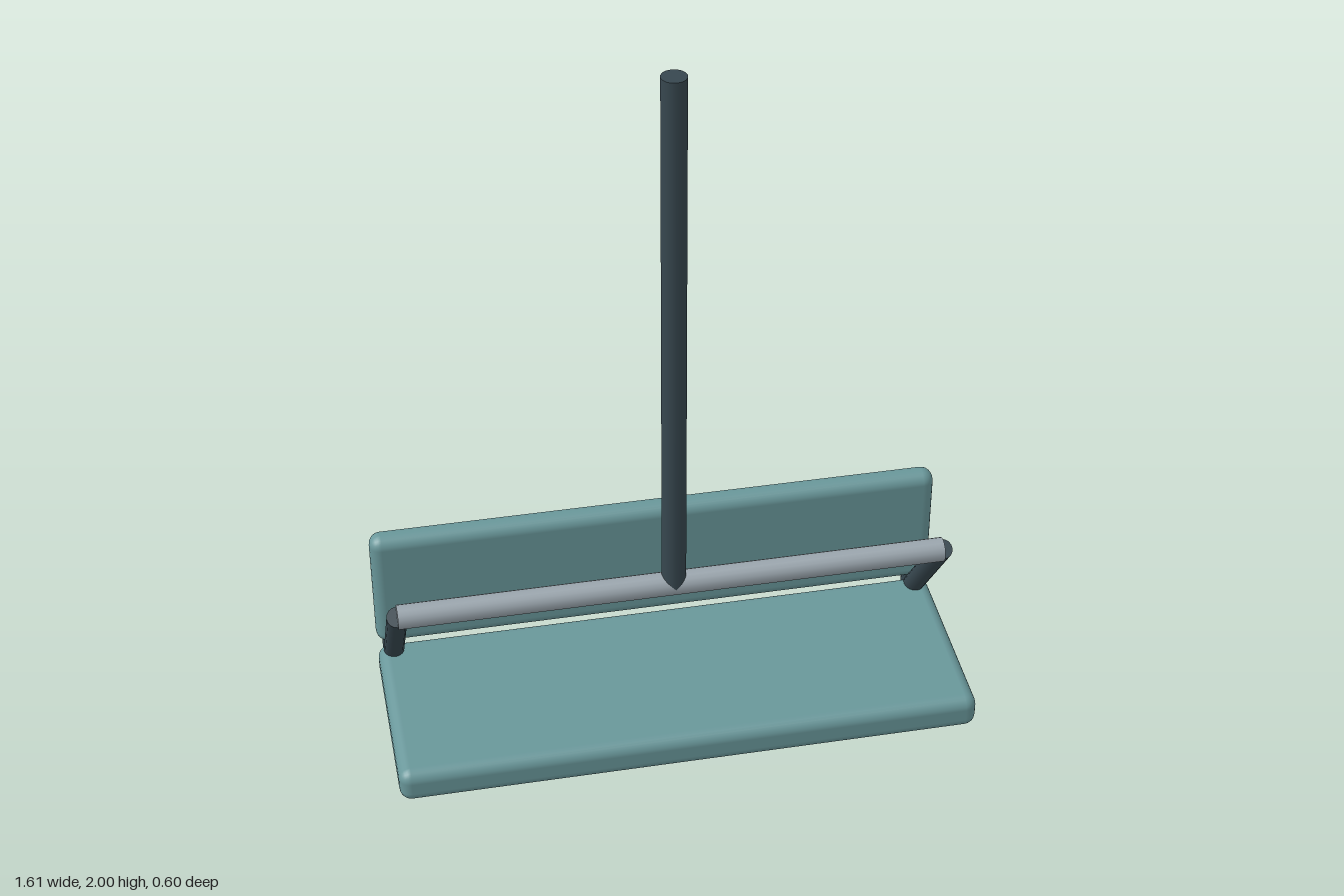
import * as THREE from 'three';
import { RoundedBoxGeometry } from 'three/addons/geometries/RoundedBoxGeometry.js';

export function createModel() {
  const model = new THREE.Group();
  model.name = 'hangingBench';

  const mat = (name, color) => {
    const m = new THREE.MeshStandardMaterial({ color });
    m.name = name;
    return m;
  };
  const teal = mat('teal cushion', 0x69979a);
  const dark = mat('dark steel', 0x37474f);
  const silver = mat('light steel', 0x9aa5ad);

  const add = (name, geometry, material) => {
    const mesh = new THREE.Mesh(geometry, material);
    mesh.name = name;
    model.add(mesh);
    return mesh;
  };

  // Cushion filling the given span
  const cushion = (name, w, y0, y1, z0, z1) =>
    add(name, new RoundedBoxGeometry(w, y1 - y0, z1 - z0, 3, 0.033), teal)
      .position.set(0, (y0 + y1) / 2, (z0 + z1) / 2);

  // Round rod between two points
  const rod = (name, a, b, radius, material) => {
    const from = new THREE.Vector3(...a), to = new THREE.Vector3(...b);
    const dir = to.clone().sub(from);
    const mesh = add(name, new THREE.CylinderGeometry(radius, radius, dir.length(), 16), material);
    mesh.position.copy(from).lerp(to, 0.5);
    mesh.quaternion.setFromUnitVectors(new THREE.Vector3(0, 1, 0), dir.normalize());
  };

  cushion('seat', 1.61, 0, 0.1, -0.265, 0.3);
  cushion('backrest', 1.61, 0.115, 0.485, -0.3, -0.228);

  // Lap bar and hanging pole
  const barY = 0.42, barZ = 0.016;
  rod('lapBar', [-0.76, barY, barZ], [0.76, barY, barZ], 0.034, silver);
  rod('pole', [0, barY, barZ], [0, 2, barZ], 0.034, dark);

  // Side arms and the posts joining seat to backrest
  for (const [side, s] of [['left', 1], ['right', -1]]) {
    const x = s * 0.76;
    rod(side + 'Arm', [x, 0.07, -0.25], [x, barY, barZ], 0.029, dark);
    rod(side + 'Post', [x, 0.045, -0.262], [x, 0.2, -0.262], 0.029, dark);
  }
  return model;
}
